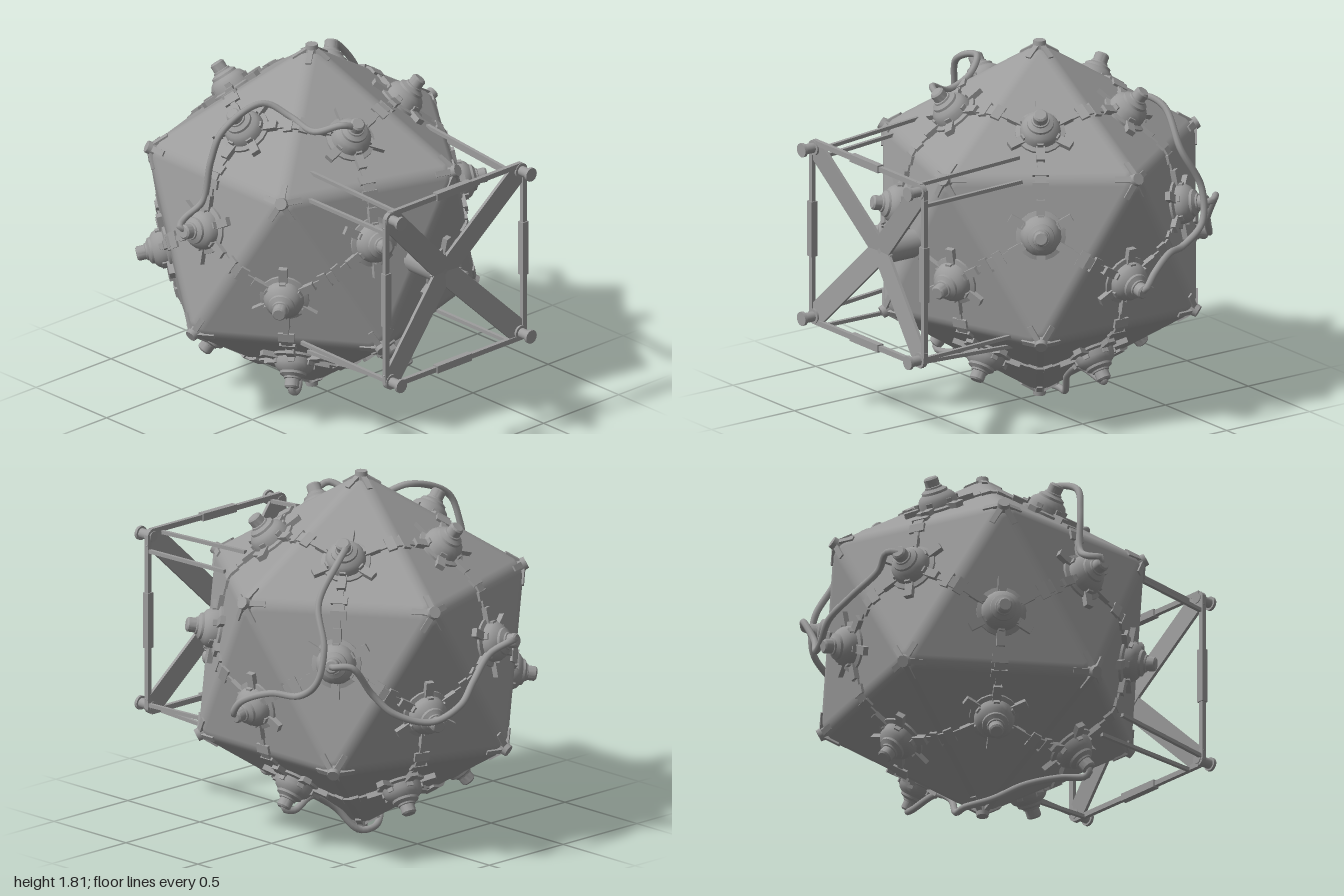
import * as THREE from 'three';
import { toCreasedNormals } from 'three/addons/utils/BufferGeometryUtils.js';
import { ConvexGeometry } from 'three/addons/geometries/ConvexGeometry.js';

const V = (x, y, z) => new THREE.Vector3(x, y, z);
const R = 0.774, ROUND = 0.1, EDGE = 0.946; // inner icosahedron radius, edge rounding, sharp edge length
const INRADIUS = 0.7947 * R + ROUND;

export function createModel() {
  const metal = new THREE.MeshStandardMaterial({ color: 0x9c9c9c });
  metal.name = 'grey metal';
  const model = new THREE.Group();
  model.name = 'mine';
  const add = (parent, name, geo, x = 0, y = 0, z = 0) => {
    const m = new THREE.Mesh(geo, metal);
    m.name = name;
    m.position.set(x, y, z);
    parent.add(m);
    return m;
  };
  // group whose y axis points along n and whose x axis points towards t
  const oriented = (parent, name, pos, n, t) => {
    const g = new THREE.Group();
    const x = t.clone().addScaledVector(n, -t.dot(n)).normalize();
    const z = x.clone().cross(n);
    g.quaternion.setFromRotationMatrix(new THREE.Matrix4().makeBasis(x, n, z));
    g.position.copy(pos);
    g.name = name;
    parent.add(g);
    return g;
  };

  const body = new THREE.Group();
  body.name = 'body';
  body.position.set(0, 0.905, -0.11);
  model.add(body);

  // icosahedron directions, edges and faces
  const dirs = [V(0, 1, 0), V(0, -1, 0)];
  for (let i = 0; i < 5; i++) {
    const a = i * Math.PI * 0.4, c = 0.8944 * Math.cos(a), s = 0.8944 * Math.sin(a);
    dirs.push(V(c, 0.4472, s), V(-c, -0.4472, -s));
  }
  const near = (a, b) => a !== b && a.dot(b) > 0.4;
  const edges = [], faces = [];
  dirs.forEach((a, i) => dirs.forEach((b, j) => {
    if (j <= i || !near(a, b)) return;
    edges.push([a, b]);
    dirs.forEach((c, k) => {
      if (k > j && near(a, c) && near(b, c))
        faces.push({ n: a.clone().add(b).add(c).normalize(), v: [a, b, c] });
    });
  }));

  // rounded hull: every corner carries a patch of a small sphere
  const points = [];
  for (const d of dirs) {
    const put = n => points.push(d.clone().multiplyScalar(R).addScaledVector(n, ROUND));
    put(d);
    const own = faces.filter(f => f.v.includes(d));
    own.forEach((f, i) => {
      put(f.n);
      own.forEach((g, j) => {
        if (j > i && f.n.dot(g.n) > 0.7)
          for (const t of [1 / 3, 2 / 3]) put(f.n.clone().lerp(g.n, t).normalize());
      });
    });
  }
  const hull = new ConvexGeometry(points);
  const pos = hull.attributes.position, nor = hull.attributes.normal, p = V(0, 0, 0);
  for (let i = 0; i < pos.count; i++) {
    p.fromBufferAttribute(pos, i);
    const d = dirs.reduce((a, b) => (b.dot(p) > a.dot(p) ? b : a));
    p.addScaledVector(d, -R).normalize();
    nor.setXYZ(i, p.x, p.y, p.z);
  }
  add(body, 'hull', hull);

  // stud with six tabs on each face
  const profile = [[0.122, -0.005], [0.122, 0.012], [0.1, 0.018], [0.096, 0.045], [0.084, 0.066],
    [0.066, 0.08], [0.064, 0.092], [0.044, 0.104], [0.042, 0.112], [0.036, 0.114], [0.036, 0.15], [0.028, 0.158], [0, 0.158]];
  const studGeo = toCreasedNormals(new THREE.LatheGeometry(profile.map(q => new THREE.Vector2(...q)), 20), 0.5);
  const tabGeo = new THREE.BoxGeometry(0.085, 0.03, 0.042);
  const ribGeo = new THREE.BoxGeometry(0.022, 0.035, 0.03);
  const stemGeo = new THREE.BoxGeometry(0.06, 0.012, 0.028);
  const plateGeo = new THREE.BoxGeometry(0.045, 0.018, 0.08);
  for (const f of faces) {
    const g = oriented(body, 'faceStud', f.n.clone().multiplyScalar(INRADIUS), f.n, f.v[0]);
    add(g, 'stud', studGeo);
    for (let k = 0; k < 6; k++) {
      const arm = new THREE.Group();
      arm.name = 'arm';
      arm.rotation.y = k * Math.PI / 3;
      g.add(arm);
      add(arm, 'tab', tabGeo, 0.132, 0.012, 0);
      add(arm, 'rib', ribGeo, 0.092, 0.03, 0);
      if (k % 2) { // arms that reach the neighbouring faces
        add(arm, 'stem', stemGeo, 0.195, 0.004, 0);
        add(arm, 'clampPlate', plateGeo, 0.235, 0.004, 0);
      }
    }
  }

  // bridge over the middle of each edge
  const bridgeGeo = new THREE.BoxGeometry(0.055, 0.02, 0.05);
  for (const [a, b] of edges) {
    const n = a.clone().add(b).normalize();
    const g = oriented(body, 'edgeBridge', n.clone().multiplyScalar(0.8506 * R + ROUND), n, a);
    add(g, 'bridge', bridgeGeo);
  }

  // five-legged clamp on each corner
  const hubGeo = new THREE.CylinderGeometry(0.03, 0.034, 0.04, 10);
  const legGeo = new THREE.BoxGeometry(0.085, 0.022, 0.028);
  for (const d of dirs) {
    const next = dirs.filter(e => near(d, e));
    const g = oriented(body, 'cornerClamp', d.clone().multiplyScalar(R + ROUND), d, next[0]);
    add(g, 'hub', hubGeo, 0, 0.01, 0);
    for (let k = 0; k < 5; k++) {
      const arm = new THREE.Group();
      arm.name = 'leg';
      arm.rotation.y = k * Math.PI * 0.4;
      g.add(arm);
      add(arm, 'leg', legGeo, 0.055, -0.02, 0).rotation.z = -0.55;
    }
  }

  // cables between studs
  const cable = pts => add(model, 'cable', new THREE.TubeGeometry(
    new THREE.CatmullRomCurve3(pts.map(q => V(...q))), 64, 0.017, 8));
  cable([[-0.83, 1.07, -0.11], [-0.86, 1.09, -0.13], [-0.8, 1.11, -0.16], [-0.71, 1.18, -0.13], [-0.68, 1.4, -0.1],
    [-0.63, 1.55, -0.07], [-0.4, 1.64, -0.03], [-0.32, 1.58, 0.08], [-0.3, 1.54, 0.22], [-0.24, 1.6, 0.36], [-0.16, 1.57, 0.38]]);
  cable([[0.82, 0.745, -0.11], [0.865, 0.76, -0.11], [0.865, 0.83, -0.16], [0.8, 0.89, -0.3], [0.74, 0.89, -0.43],
    [0.73, 0.98, -0.55], [0.7, 1.15, -0.57], [0.65, 1.35, -0.48], [0.52, 1.53, -0.48], [0.43, 1.57, -0.44], [0.41, 1.55, -0.41]]);
  cable([[0.66, 1.06, -0.59], [0.7, 1.07, -0.63], [0.64, 1.07, -0.7], [0.53, 0.92, -0.73], [0.45, 0.82, -0.8], [0.3, 0.77, -0.91],
    [0.17, 0.84, -0.972], [0.05, 0.93, -0.94], [-0.1, 1.03, -0.9], [-0.2, 1.08, -0.94], [-0.26, 1.07, -0.91]]);
  cable([[0.5, 0.25, -0.11], [0.53, 0.21, -0.11], [0.48, 0.19, -0.13], [0.33, 0.23, -0.11], [0.2, 0.15, -0.13], [0.1, 0.03, -0.19],
    [0.02, 0.025, -0.21], [-0.1, 0.05, -0.14], [-0.2, 0.13, -0.02], [-0.3, 0.18, 0.12], [-0.4, 0.18, 0.2], [-0.43, 0.2, 0.2], [-0.4, 0.25, 0.18]]);

  // square frame held in front of the body
  const frame = new THREE.Group();
  frame.name = 'frontFrame';
  frame.position.set(-0.012, 0.913, 0);
  model.add(frame);
  const bar = (name, a, b, w, t) => {
    const m = add(frame, name, new THREE.BoxGeometry(w, t, a.distanceTo(b)));
    m.position.copy(a).add(b).multiplyScalar(0.5);
    const z = b.clone().sub(a).normalize();
    const x = V(0, 0, 1).addScaledVector(z, -z.z).normalize();
    if (Math.abs(z.z) > 0.9) x.set(1, 0, 0).addScaledVector(z, -z.x).normalize();
    const y = z.clone().cross(x);
    // local y follows the forward direction, so t is the depth
    m.quaternion.setFromRotationMatrix(new THREE.Matrix4().makeBasis(y.negate(), x, z));
  };
  const rodAlongZ = (name, r, z0, z1, x, y) => {
    const m = add(frame, name, new THREE.CylinderGeometry(r, r, z1 - z0, 16), x, y, (z0 + z1) / 2);
    m.rotation.x = Math.PI / 2;
  };
  rodAlongZ('post', 0.068, 0.5, 0.845, 0, 0);
  add(frame, 'hubPlate', new THREE.BoxGeometry(0.13, 0.13, 0.015), 0, 0, 0.842).rotation.z = Math.PI / 4;
  for (const s of [-1, 1]) {
    const o = s * 0.457;
    bar('sideBar', V(o, -0.44, 0.915), V(o, 0.44, 0.915), 0.026, 0.022);
    bar('sideSleeve', V(o, -0.13, 0.915), V(o, 0.15, 0.915), 0.038, 0.034);
    bar('crossBar', V(-0.44, o, 0.915), V(0.44, o, 0.915), 0.026, 0.022);
    bar('crossSleeve', V(-0.13, o, 0.915), V(0.1, o, 0.915), 0.038, 0.034);
    for (const t of [-1, 1]) {
      const x = s * 0.432, y = t * 0.43;
      bar('diagonal', V(0, 0, 0.84), V(x, y, 0.915), 0.115, 0.016);
      rodAlongZ('knob', 0.025, 0.9, 0.995, x, y);
      rodAlongZ('knobFlange', 0.038, 0.905, 0.93, x, y);
      rodAlongZ('knobCap', 0.035, 0.985, 1, x, y);
      // two stays from each corner back to the body
      bar('outerStay', V(s * 0.455, t > 0 ? 0.36 : -0.42, 0.91), V(s * 0.488, t > 0 ? 0.385 : -0.39, 0.35), 0.018, 0.018);
      bar('innerStay', V(s * 0.37, t > 0 ? 0.44 : -0.465, 0.91), V(s * 0.397, t > 0 ? 0.475 : -0.48, 0.3), 0.018, 0.018);
    }
  }
  return model;
}
